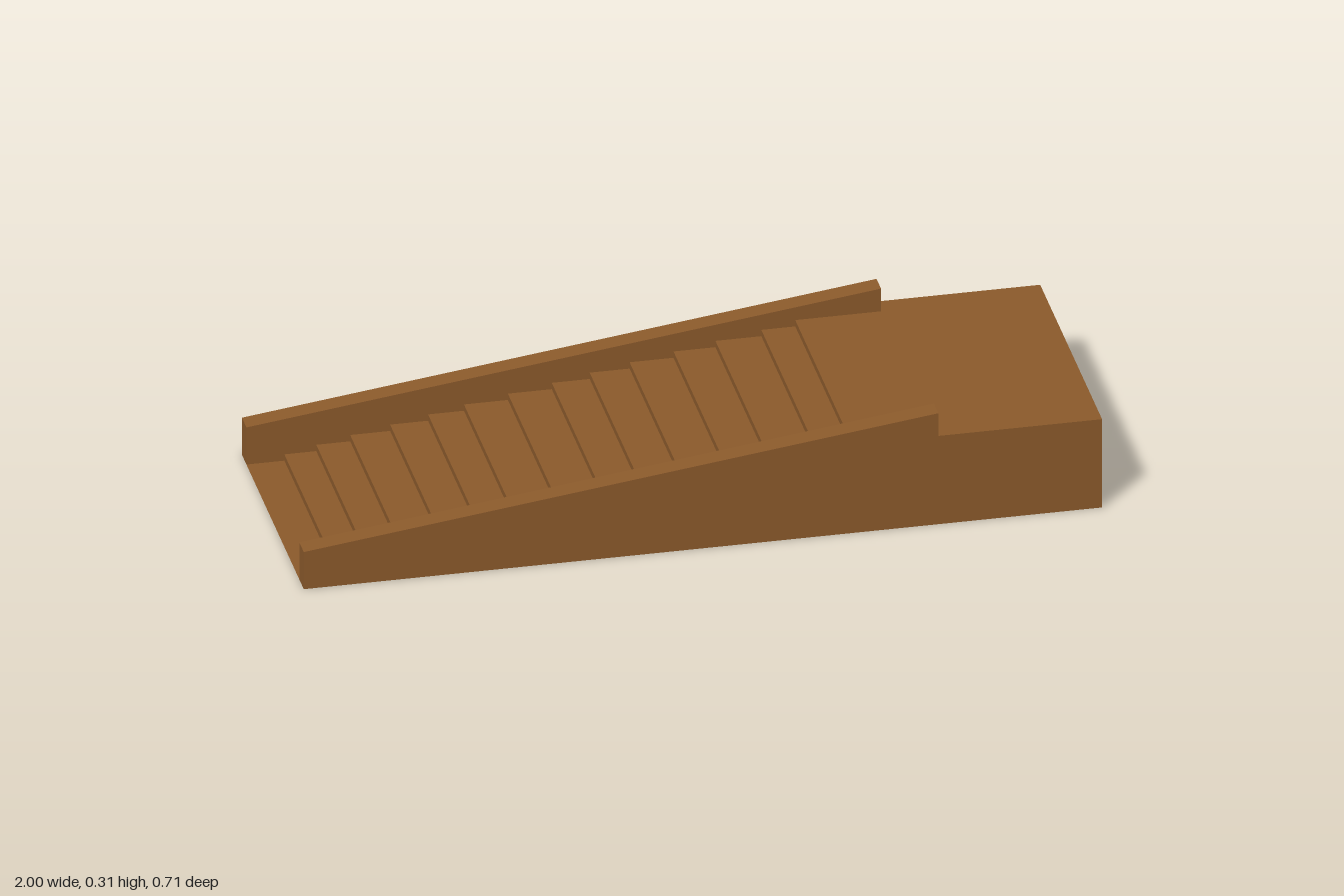
import * as THREE from 'three';

const HALF_W = 0.357;   // outer half width
const INNER = 0.305;    // half width between the side rails
const DECK_Y = 0.245;   // platform height
const RAIL_END = 0.59;  // where the rails stop on the platform

const wood = new THREE.MeshStandardMaterial({
  color: 0x8b5a2b, flatShading: true, side: THREE.DoubleSide,
});

// Thin sheet following an x/y profile, spanning -halfWidth..halfWidth in z
function sheet(profile, halfWidth) {
  const pos = [];
  for (let i = 0; i < profile.length - 1; i++) {
    const [x0, y0] = profile[i], [x1, y1] = profile[i + 1];
    const a = [x0, y0, halfWidth], b = [x1, y1, halfWidth];
    const c = [x1, y1, -halfWidth], d = [x0, y0, -halfWidth];
    pos.push(...a, ...b, ...c, ...a, ...c, ...d);
  }
  const g = new THREE.BufferGeometry();
  g.setAttribute('position', new THREE.Float32BufferAttribute(pos, 3));
  g.computeVertexNormals();
  return g;
}

export function createModel() {
  const group = new THREE.Group();
  const add = (name, geometry, z = 0) => {
    const mesh = new THREE.Mesh(geometry, wood);
    mesh.name = name;
    mesh.position.z = z;
    group.add(mesh);
  };

  // Shallow steps with uneven treads, climbing to the platform
  const risers = [-0.905, -0.825, -0.74, -0.64, -0.545, -0.455, -0.345,
    -0.235, -0.14, -0.04, 0.07, 0.175, 0.29, 0.375];
  const rise = DECK_Y / risers.length;
  const profile = [[-1, 0]];
  risers.forEach((x, i) => profile.push([x, i * rise], [x, (i + 1) * rise]));
  profile.push([RAIL_END, DECK_Y]);
  add('steps', sheet(profile, INNER));

  // Platform top and end wall, hollow underneath
  add('platform', sheet([[RAIL_END, DECK_Y], [1, DECK_Y], [1, 0]], HALF_W));

  // Solid sloping side rails
  const railShape = new THREE.Shape([
    new THREE.Vector2(-1, 0), new THREE.Vector2(RAIL_END, 0),
    new THREE.Vector2(RAIL_END, 0.308), new THREE.Vector2(-1, 0.103),
  ]);
  const rail = new THREE.ExtrudeGeometry(railShape, { depth: HALF_W - INNER, bevelEnabled: false });
  add('leftRail', rail, INNER);
  add('rightRail', rail, -HALF_W);

  // Thin platform side walls
  for (const side of [1, -1]) {
    const wall = new THREE.PlaneGeometry(1 - RAIL_END, DECK_Y);
    if (side < 0) wall.rotateY(Math.PI);
    wall.translate((1 + RAIL_END) / 2, DECK_Y / 2, 0);
    add(side > 0 ? 'frontWall' : 'backWall', wall, side * HALF_W);
  }
  return group;
}
